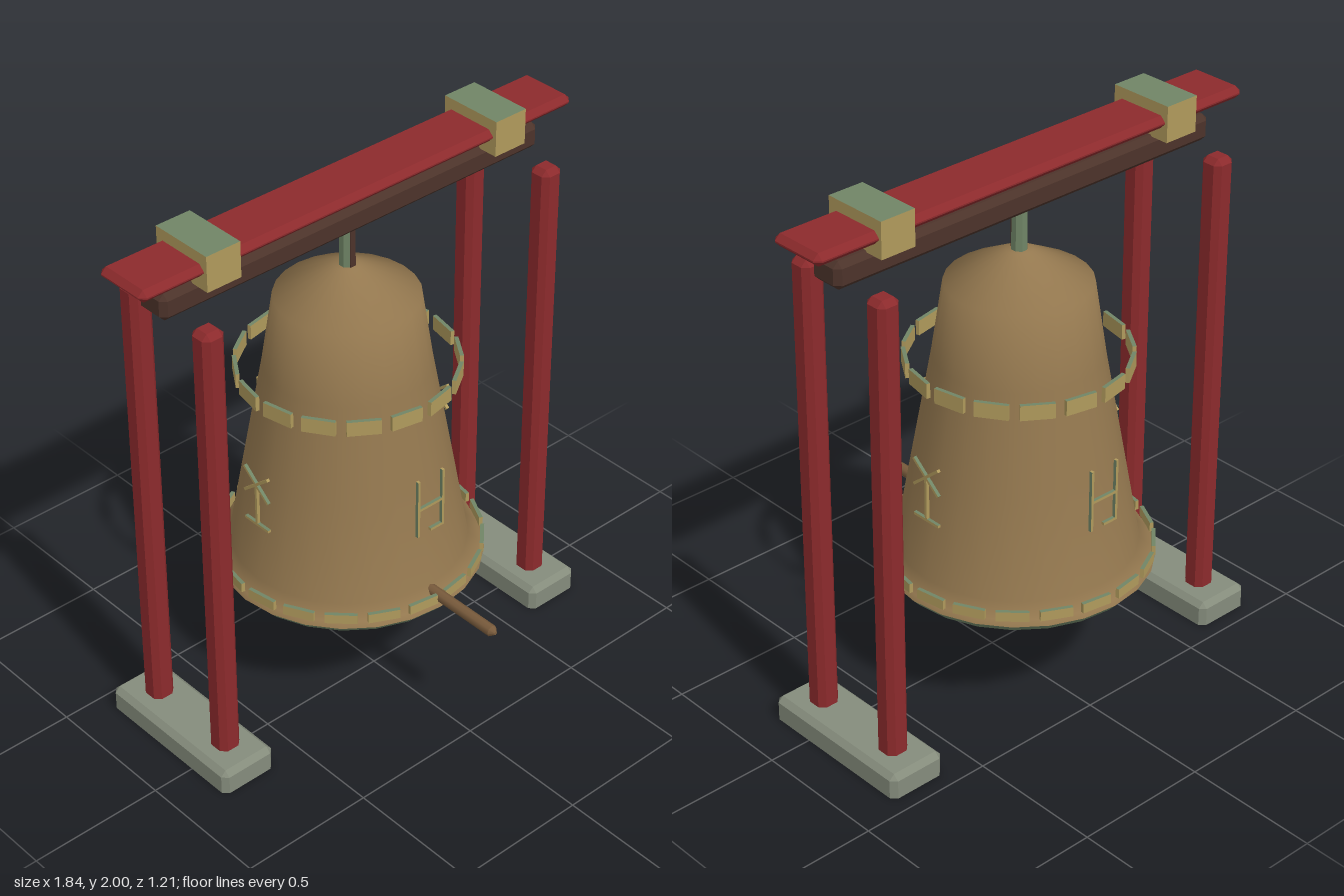
import * as THREE from 'three';
import { ConvexGeometry } from 'three/addons/geometries/ConvexGeometry.js';

const BELL_Z = -0.13;

export function createModel() {
  const model = new THREE.Group();
  model.name = 'bellStand';

  const material = (name, color, side = THREE.FrontSide) => {
    const m = new THREE.MeshStandardMaterial({ color, side });
    m.name = name;
    return m;
  };
  const bronze = material('bronze', 0x94784f);
  const patina = material('patina', 0x708566);
  const gold = material('gold', 0xb09a5c);
  const red = material('redLacquer', 0x8c2a2c);
  const darkWood = material('darkWood', 0x4c332a);
  const wood = material('wood', 0x795b3c);
  const stone = material('stone', 0x858c7c, THREE.DoubleSide);
  // Gilded box with a weathered top face
  const gilded = [gold, gold, patina, gold, gold, gold];

  const add = (parent, name, geometry, mat, x = 0, y = 0, z = 0) => {
    const mesh = new THREE.Mesh(geometry, mat);
    mesh.name = name;
    mesh.position.set(x, y, z);
    parent.add(mesh);
    return mesh;
  };
  const group = (name, parent = model) => {
    const g = new THREE.Group();
    g.name = name;
    parent.add(g);
    return g;
  };

  // Box with every edge chamfered by c
  const chamferBox = (w, h, d, c) => {
    const points = [];
    for (const sx of [-1, 1]) for (const sy of [-1, 1]) for (const sz of [-1, 1]) {
      for (let full = 0; full < 3; full++) {
        const inset = (size, axis) => size / 2 - (axis === full ? 0 : c);
        points.push(new THREE.Vector3(sx * inset(w, 0), sy * inset(h, 1), sz * inset(d, 2)));
      }
    }
    return new ConvexGeometry(points);
  };

  // Stone foot: chamfered on top, sharp at the ground, open below
  const footGeometry = (w, h, d, c) => {
    const points = [];
    for (const sx of [-1, 1]) for (const sz of [-1, 1]) {
      for (const [ix, y, iz] of [[0, 0, c], [c, 0, 0], [0, h - c, c], [c, h - c, 0], [c, h, c]]) {
        points.push(new THREE.Vector3(sx * (w / 2 - ix), y, sz * (d / 2 - iz)));
      }
    }
    const p = new ConvexGeometry(points).getAttribute('position').array;
    const kept = [];
    for (let i = 0; i < p.length; i += 9) {
      if (p[i + 1] + p[i + 4] + p[i + 7] > 0.001) kept.push(...p.slice(i, i + 9));
    }
    const geometry = new THREE.BufferGeometry();
    geometry.setAttribute('position', new THREE.Float32BufferAttribute(kept, 3));
    geometry.computeVertexNormals();
    return geometry;
  };

  // Frame: feet, posts, beam and roof plank
  for (const side of [-1, 1]) {
    const frame = group(side > 0 ? 'leftFrame' : 'rightFrame');
    add(frame, 'foot', footGeometry(0.22, 0.09, 0.62, 0.02), stone, side * 0.73, 0, BELL_Z);
    for (const dz of [-0.18, 0.18]) {
      add(frame, 'post', chamferBox(0.086, 1.75, 0.086, 0.02), red, side * 0.73, 0.915, BELL_Z + dz);
    }
    add(frame, 'plankClamp', new THREE.BoxGeometry(0.135, 0.13, 0.245), gilded,
      side * 0.613, 1.935, BELL_Z + 0.002);
  }
  add(model, 'crossBeam', chamferBox(1.62, 0.097, 0.13, 0.02), darkWood, 0, 1.828, BELL_Z);
  add(model, 'roofPlank', chamferBox(1.84, 0.045, 0.22, 0.02), red, 0, 1.937, BELL_Z);

  // Bell
  const bell = group('bell');
  bell.position.z = BELL_Z;
  const lathe = (pairs) =>
    new THREE.LatheGeometry(pairs.map(([r, y]) => new THREE.Vector2(r, y)), 24);
  add(bell, 'bellBody', lathe([
    [0.475, 0.468], [0.465, 0.488], [0.418, 0.53], [0.354, 0.89], [0.29, 1.25],
    [0.25, 1.515], [0.045, 1.628], [0, 1.63],
  ]), bronze);
  add(bell, 'bellLip', lathe([[0.45, 0.44], [0.475, 0.468]]), patina);
  const underside = add(bell, 'bellUnderside', new THREE.CircleGeometry(0.45, 24), patina, 0, 0.44, 0);
  underside.rotation.x = Math.PI / 2;

  // Hanger between beam and bell
  add(bell, 'hanger', new THREE.CylinderGeometry(0.028, 0.028, 0.18, 8).rotateY(Math.PI / 8)
    .toNonIndexed(), patina, 0, 1.71, 0).geometry.computeVertexNormals();
  add(bell, 'hangerStrip', new THREE.BoxGeometry(0.022, 0.16, 0.005), darkWood, 0, 1.71, 0.027);

  // Rings of separate gilded plates around the bell
  const plateRing = (name, count, radius, y, width, height) => {
    const ring = group(name, bell);
    const geometry = new THREE.BoxGeometry(width, height, 0.014);
    for (let i = 0; i < count; i++) {
      const a = ((i + 0.5) / count) * Math.PI * 2;
      const plate = add(ring, 'plate', geometry, gilded, Math.sin(a) * radius, y, Math.cos(a) * radius);
      plate.rotation.y = a;
    }
  };
  plateRing('upperRing', 16, 0.378, 1.237, 0.115, 0.055);
  plateRing('lowerRing', 20, 0.466, 0.508, 0.112, 0.036);

  // Relief ornaments of thin bars; each bar is [x1, y1, x2, y2]
  const barred = [[-0.055, 0.76, -0.055, 0.99], [0.055, 0.76, 0.055, 0.99],
    [-0.055, 0.87, 0.055, 0.87], [0, 0.765, 0.055, 0.765]];
  const crossed = [[-0.06, 0.98, 0.06, 0.88], [0.06, 0.98, -0.06, 0.88],
    [0, 0.76, 0, 0.93], [-0.06, 0.765, 0.06, 0.765]];
  for (let i = 0; i < 4; i++) {
    const ornament = group('ornament', bell);
    ornament.rotation.y = (i * Math.PI) / 2;
    for (const [x1, y1, x2, y2] of i % 2 ? crossed : barred) {
      const length = Math.hypot(x2 - x1, y2 - y1);
      const bar = add(ornament, 'ornamentBar', new THREE.BoxGeometry(length, 0.01, 0.012), gilded,
        (x1 + x2) / 2, (y1 + y2) / 2, 0.41);
      bar.rotation.z = Math.atan2(y2 - y1, x2 - x1);
    }
  }

  // Striker log with a tapered tip
  const striker = group('striker');
  add(striker, 'strikerLog', new THREE.CylinderGeometry(0.021, 0.021, 0.31, 8).rotateX(Math.PI / 2),
    wood, 0, 0.51, 0.435);
  add(striker, 'strikerTip', new THREE.CylinderGeometry(0.006, 0.021, 0.018, 8).rotateX(Math.PI / 2),
    wood, 0, 0.51, 0.599);

  return model;
}
